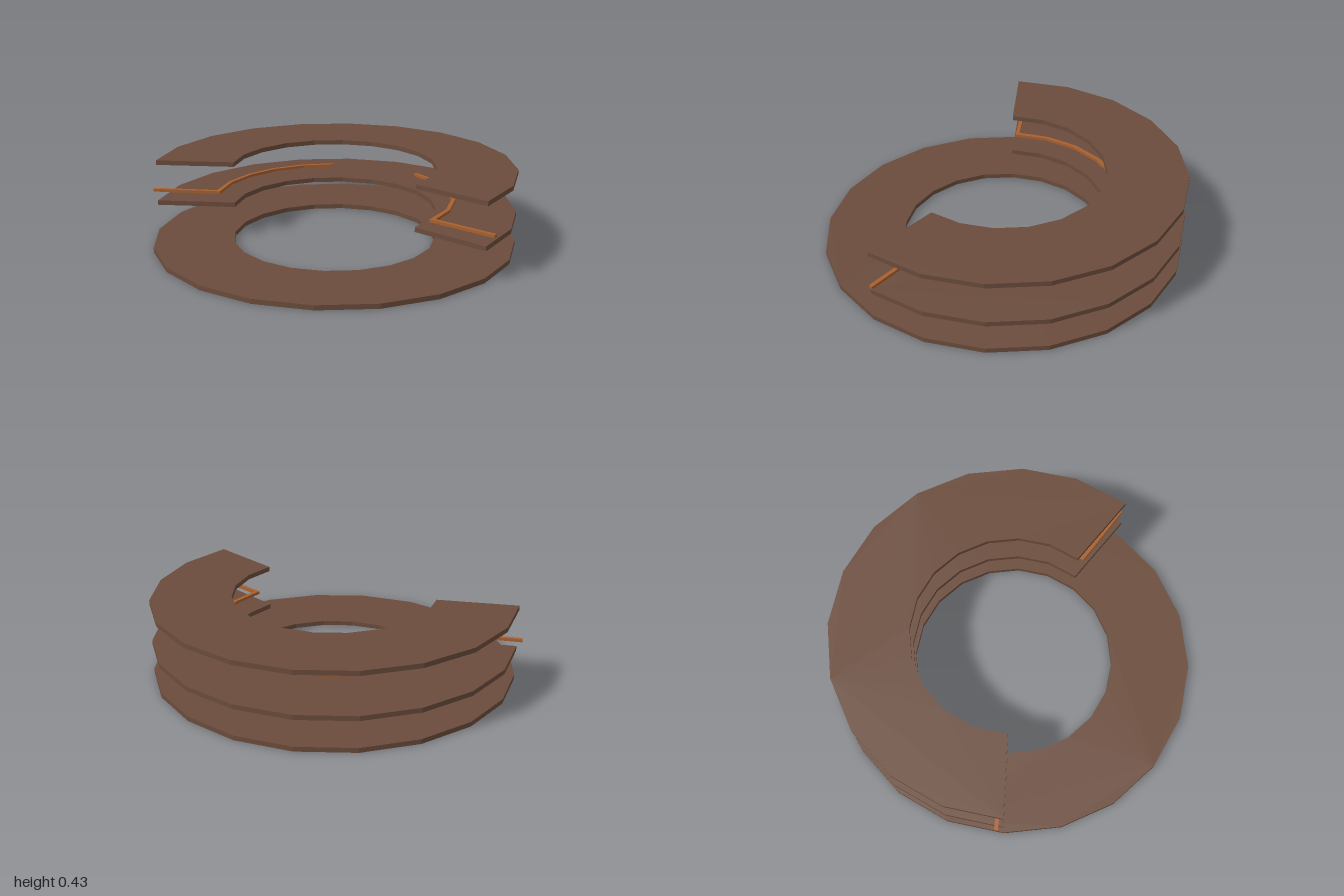
import * as THREE from 'three';

const RAD = Math.PI / 180;
const polar = (r, deg) => new THREE.Vector2(r * Math.cos(deg * RAD), r * Math.sin(deg * RAD));

// Points on a faceted arc, angles in degrees
function arc(r, from, to, steps) {
  return Array.from({ length: steps + 1 }, (_, i) => polar(r, from + ((to - from) * i) / steps));
}

// Flat slab lying on the ground plane, lifted to height y
function slab(name, shape, y, height, material) {
  const geo = new THREE.ExtrudeGeometry(shape, { depth: height, bevelEnabled: false });
  geo.rotateX(-Math.PI / 2);
  const mesh = new THREE.Mesh(geo, material);
  mesh.position.y = y;
  mesh.name = name;
  return mesh;
}

export function createModel() {
  const model = new THREE.Group();
  model.name = 'tieredRing';
  const wood = new THREE.MeshStandardMaterial({ color: 0x6b4c3c });
  wood.name = 'brown wood';
  const copper = new THREE.MeshStandardMaterial({ color: 0xa8602f });
  copper.name = 'copper';

  const outer = 1, inner = 0.56, thick = 0.026;

  // Full ring floor, twenty sides
  const ring = new THREE.Shape(arc(outer, 0, 342, 19));
  ring.holes.push(new THREE.Path(arc(inner, 0, 342, 19)));
  model.add(slab('lowerFloor', ring, 0, thick, wood));

  // Two horseshoe floors, open at the front
  const horseshoe = new THREE.Shape([
    ...arc(outer, -18, 198, 12),
    ...arc(inner, 198, -18, 12),
  ]);
  model.add(slab('middleFloor', horseshoe, 0.17, thick, wood));
  model.add(slab('upperFloor', horseshoe, 0.404, thick, wood));

  // Mirrored rails: a straight radial bar, then a curve towards the back
  const start = -16, end = 66, rIn = 0.645, rOut = 0.667, tip = 1.03;
  const side = polar(0.011, start + 90);
  const right = [
    polar(rIn, start).sub(side),
    polar(tip, start).sub(side),
    polar(tip, start).add(side),
    polar(rOut, start).add(side),
    ...arc(rOut, start, end, 5).slice(1),
    ...arc(rIn, end, start, 5).slice(0, -1),
  ];
  for (const s of [1, -1]) {
    const pts = right.map((p) => new THREE.Vector2(p.x * s, p.y));
    model.add(slab(s > 0 ? 'leftRail' : 'rightRail', new THREE.Shape(pts), 0.24, 0.016, copper));
  }
  return model;
}
